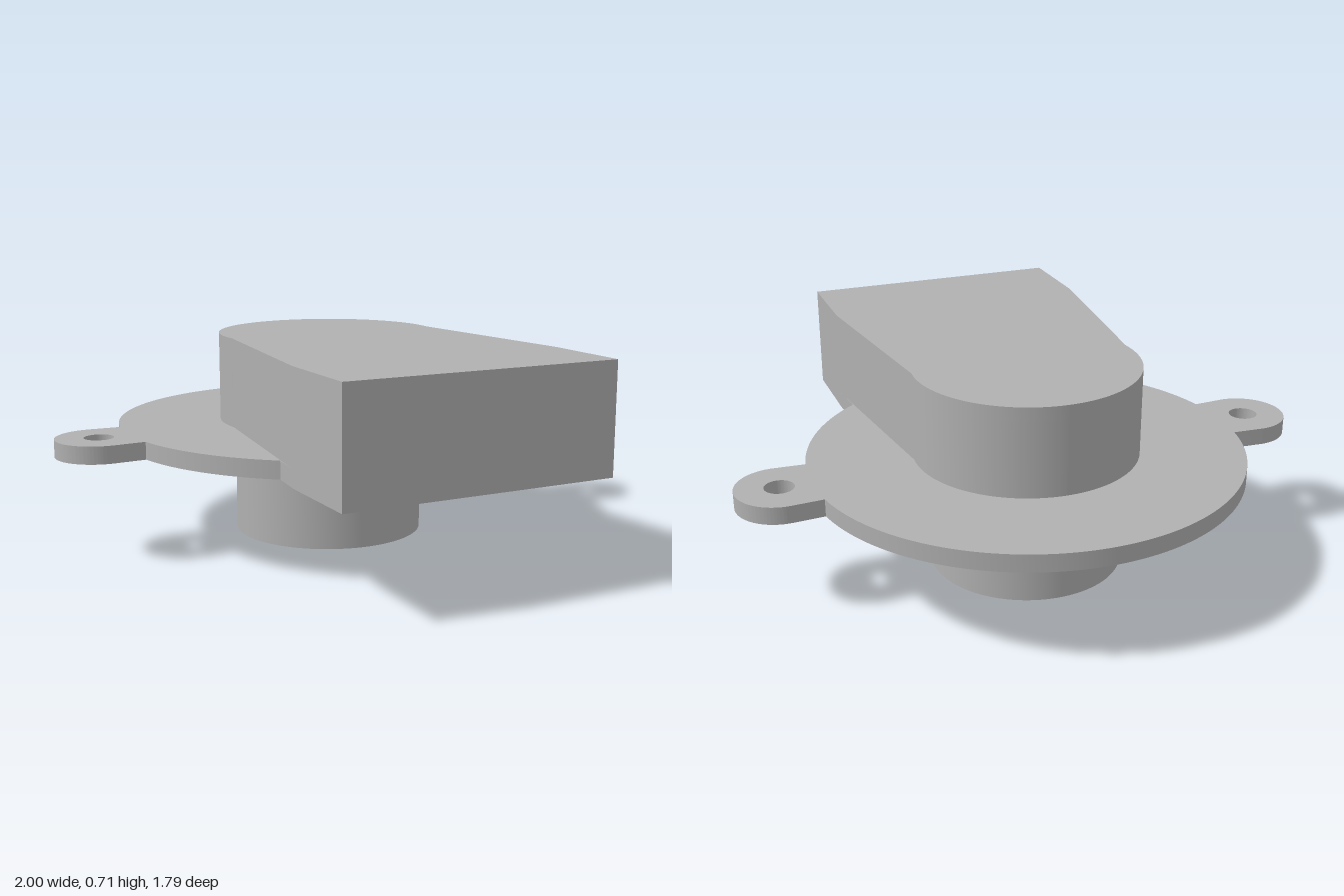
import * as THREE from 'three';
import { toCreasedNormals } from 'three/addons/utils/BufferGeometryUtils.js';

// Outlines are drawn in plan: x to the side, v = -z (towards the back).
const CV = 0.15;              // shared centre of disc, pipe and rounded housing end
const WALL = 0.047;
const Y_PLATE = 0.345, Y_DECK = 0.405, Y_TOP = 0.715;

function circlePath(x, v, r, Type = THREE.Path) {
  return new Type().absarc(x, v, r, 0, Math.PI * 2, false);
}

// Tapered housing outline with a rounded back, inset by d
function housingOutline(d, Type = THREE.Shape) {
  const w = 0.47 - d, t = 0.112;
  const p = new Type();
  p.moveTo(-w, -0.89 + d);
  p.lineTo(w, -0.89 + d);
  p.lineTo(w, -0.57);
  p.absarc(0, CV, 0.389 - d, -t, Math.PI + t, false);
  p.lineTo(-w, -0.57);
  p.closePath();
  return p;
}

// Round flange with two ears, merged with the floor of the outlet
function plateOutline() {
  const R = 0.75, ear = 0.147, earX = 0.853;
  const a0 = Math.atan2(-0.595, 0.457), aE = 0.188, e = Math.PI / 2 + 0.06;
  const s = new THREE.Shape();
  s.moveTo(-0.47, -0.89);
  s.lineTo(0.47, -0.89);
  s.lineTo(0.47, -0.57);
  s.absarc(0, CV, R, a0, -aE, false);
  s.absarc(earX, CV, ear, -e, e, false);
  s.absarc(0, CV, R, aE, Math.PI - aE, false);
  s.absarc(-earX, CV, ear, Math.PI - e, Math.PI + e, false);
  s.absarc(0, CV, R, Math.PI + aE, Math.PI - a0, false);
  s.lineTo(-0.47, -0.57);
  s.closePath();

  // pipe bore, screw holes and the rectangular outlet
  const w = 0.47 - WALL;
  const outlet = new THREE.Path([[-w, -0.843], [w, -0.843], [w, -0.61], [-w, -0.61]]
    .map(([x, v]) => new THREE.Vector2(x, v)));
  outlet.closePath();
  s.holes.push(circlePath(0, CV, 0.288), outlet);
  for (const side of [-1, 1]) s.holes.push(circlePath(side * earX, CV, 0.05));
  return s;
}

export function createModel() {
  const group = new THREE.Group();
  const grey = new THREE.MeshStandardMaterial({ color: 0xb0b0b0 });
  grey.name = 'grey plastic';

  // Raise a plan outline between two heights
  const slab = (name, shape, y0, y1) => {
    const geo = new THREE.ExtrudeGeometry(shape, { depth: y1 - y0, bevelEnabled: false, curveSegments: 80 });
    geo.rotateX(-Math.PI / 2);
    geo.translate(0, y0, 0);
    const mesh = new THREE.Mesh(toCreasedNormals(geo, 0.09), grey);
    mesh.name = name;
    group.add(mesh);
  };

  // Inlet pipe
  const pipe = circlePath(0, CV, 0.335, THREE.Shape);
  pipe.holes.push(circlePath(0, CV, 0.288));
  slab('inletPipe', pipe, 0, Y_PLATE);

  // Mounting flange
  slab('mountingFlange', plateOutline(), Y_PLATE, Y_DECK);

  // Hollow housing: side walls and roof
  const walls = housingOutline(0);
  walls.holes.push(housingOutline(WALL, THREE.Path));
  slab('housingWalls', walls, Y_DECK, Y_TOP - WALL);
  slab('housingRoof', housingOutline(0), Y_TOP - WALL, Y_TOP);

  return group;
}
